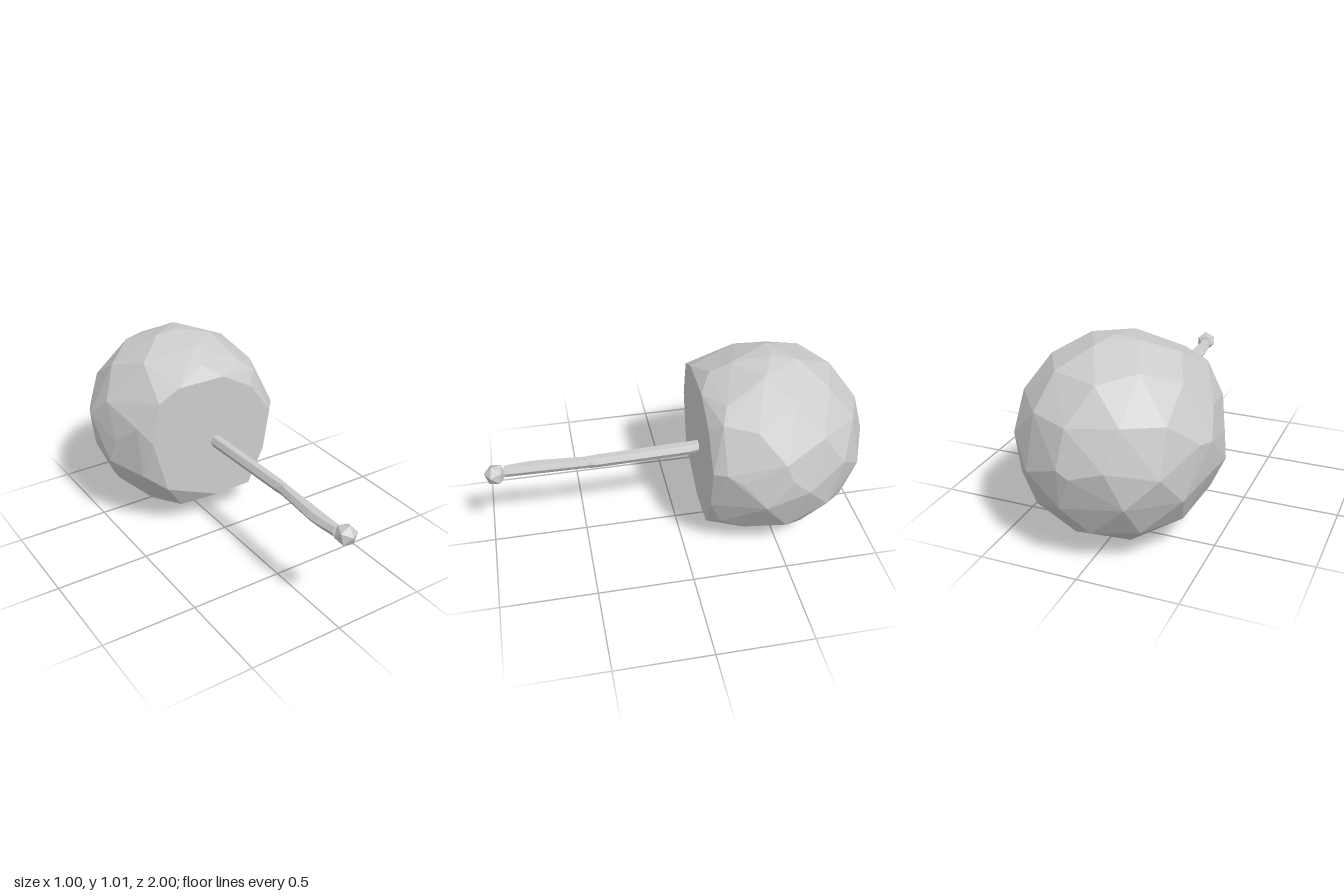
import * as THREE from 'three';
import { ConvexGeometry } from 'three/addons/geometries/ConvexGeometry.js';

const material = new THREE.MeshStandardMaterial({ color: 0xcccccc, flatShading: true });

function hull(name, points) {
  const mesh = new THREE.Mesh(new ConvexGeometry(points), material);
  mesh.name = name;
  return mesh;
}

// Six-sided rings along z; each section is [z, left edge, right edge]
function shaft(name, sections, y, halfHeight) {
  const points = [];
  for (const [z, x0, x1] of sections) {
    for (let i = 0; i < 6; i++) {
      const a = (i / 6) * Math.PI * 2;
      points.push(new THREE.Vector3(
        (x0 + x1) / 2 + Math.cos(a) * (x1 - x0) / 2,
        y + Math.sin(a) * halfHeight / Math.sin(Math.PI / 3),
        z));
    }
  }
  return hull(name, points);
}

export function createModel() {
  const model = new THREE.Group();

  // Faceted head: evenly spread points on a ball, cut flat at the front
  const faceZ = -0.12;
  const points = [];
  const count = 66;
  for (let i = 0; i < count; i++) {
    const c = 1 - (2 * i + 1) / count;
    const s = Math.sqrt(1 - c * c);
    const a = i * Math.PI * (3 - Math.sqrt(5)) + 0.4;
    const z = -0.485 - c * 0.518;
    if (z < -0.19) {
      points.push(new THREE.Vector3(Math.cos(a) * s * 0.505, 0.508 + Math.sin(a) * s * 0.512, z));
    }
  }
  // Extreme corners that set the overall size
  for (const [x, y, z] of [
    [0.02, 0.51, -1], [0.015, 1.015, -0.49], [-0.07, 0, -0.48], [0.03, 0.005, -0.4],
    [-0.5, 0.6, -0.58], [-0.5, 0.41, -0.36], [0.495, 0.57, -0.5], [0.495, 0.42, -0.37],
  ]) points.push(new THREE.Vector3(x, y, z));
  // Rim of the flat face
  for (const [x, y] of [
    [-0.32, 0.8], [-0.365, 0.58], [-0.285, 0.28], [0.02, 0.15], [0.235, 0.155],
    [0.33, 0.35], [0.37, 0.58], [0.24, 0.76], [0.065, 0.86], [-0.2, 0.86],
  ]) points.push(new THREE.Vector3(x, y, faceZ));
  // Wider corners just behind the rim
  for (const [x, y] of [
    [-0.42, 0.66], [-0.4, 0.37], [-0.17, 0.115], [0.31, 0.21], [0.42, 0.6], [0.3, 0.82], [-0.03, 0.925],
  ]) points.push(new THREE.Vector3(x, y, -0.18));
  model.add(hull('head', points));

  // Handle in two slightly bent lengths
  model.add(shaft('lowerHandle', [
    [-0.14, -0.015, 0.042], [-0.06, -0.012, 0.055], [0.43, 0.003, 0.068], [0.485, 0.012, 0.06],
  ], 0.49, 0.03));
  model.add(shaft('upperHandle', [
    [0.47, 0.008, 0.065], [0.73, -0.016, 0.058], [0.8, -0.014, 0.057], [0.9, 0.002, 0.056],
  ], 0.49, 0.027));

  // End knob
  const knob = new THREE.Mesh(new THREE.IcosahedronGeometry(0.057, 0), material);
  knob.name = 'knob';
  knob.position.set(0.045, 0.49, 0.945);
  knob.rotation.set(0.3, 0.2, 0.4);
  model.add(knob);

  return model;
}
